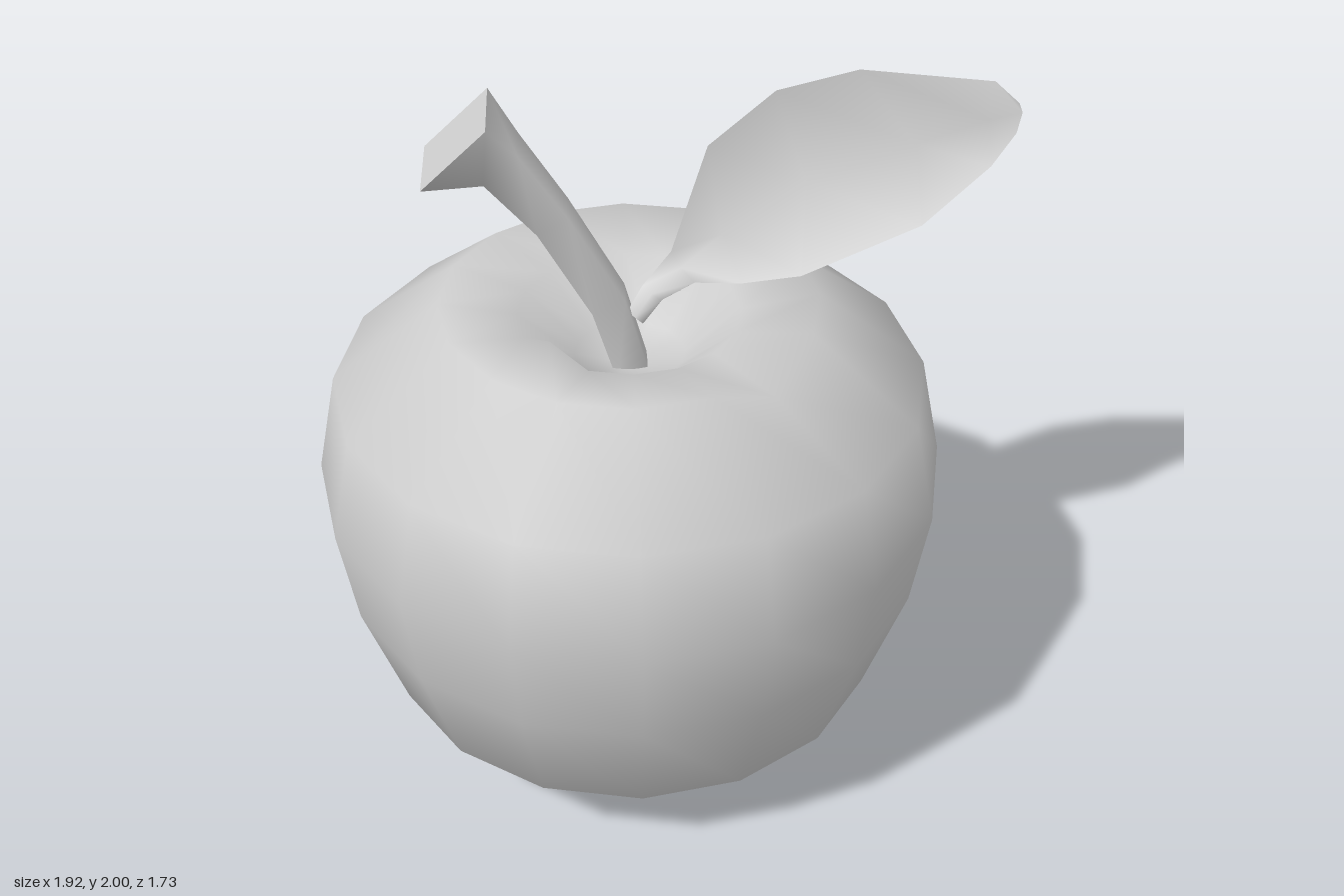
import * as THREE from 'three';
import { mergeVertices } from 'three/addons/utils/BufferGeometryUtils.js';

const V = (x, y, z) => new THREE.Vector3(x, y, z);

// Skin a list of equal-length closed rings with smooth sides and flat end caps
function loft(rings) {
  const n = rings[0].length, last = rings.length - 1;
  const points = rings.flat(), index = [];
  for (let i = 0; i < last; i++) {
    for (let j = 0; j < n; j++) {
      const a = i * n + j, b = i * n + (j + 1) % n;
      index.push(a, b, b + n, a, b + n, a + n);
    }
  }
  const first = points.length;
  points.push(...rings[0], ...rings[last]);
  for (let j = 1; j < n - 1; j++) {
    index.push(first, first + j + 1, first + j);
    index.push(first + n, first + n + j, first + n + j + 1);
  }
  const geometry = new THREE.BufferGeometry().setFromPoints(points);
  geometry.setIndex(index);
  geometry.computeVertexNormals();
  return geometry;
}

function fruitGeometry() {
  const profile = [
    [0, 0], [0.425, 0.085], [0.705, 0.275], [0.82, 0.62], [0.865, 0.91],
    [0.805, 1.2], [0.51, 1.43], [0.3, 1.39], [0.15, 1.26], [0, 1.22],
  ].map(([r, y]) => new THREE.Vector2(r, y));
  let geometry = new THREE.LatheGeometry(profile, 16);
  geometry.deleteAttribute('normal');
  geometry.deleteAttribute('uv');
  geometry = mergeVertices(geometry, 1e-4);

  // A dent in the front left of the rim and a small bump opposite
  const p = geometry.attributes.position;
  for (let i = 0; i < p.count; i++) {
    const x = p.getX(i), y = p.getY(i), z = p.getZ(i);
    if (y < 1.35) continue;
    if (Math.hypot(x - 0.36, z - 0.36) < 0.1) p.setY(i, 1.35);
    if (Math.hypot(x + 0.21, z - 0.21) < 0.1) p.setY(i, 1.44);
  }
  geometry.computeVertexNormals();
  return geometry;
}

function stemGeometry() {
  // centre x, centre y, half width in the bend plane, half width in z, lean angle
  const sections = [
    [-0.085, 1.2, 0.045, 0.04, 1.9],
    [-0.15, 1.43, 0.048, 0.045, 2.0],
    [-0.29, 1.685, 0.047, 0.055, 2.1],
    [-0.415, 1.855, 0.06, 0.065, 2.3],
    [-0.53, 1.915, 0.117, 0.12, 2.33],
  ];
  return loft(sections.map(([x, y, w, d, angle]) => {
    const vx = Math.sin(angle) * w, vy = -Math.cos(angle) * w;
    return [[-1, -1], [1, -1], [1, 1], [-1, 1]].map(([s, t]) => V(x + vx * t, y + vy * t, d * s));
  }));
}

function leafGeometry() {
  // upper edge, midrib and lower edge from the stalk to the tip
  const rows = [
    [[-0.1, 1.39, 0], [-0.08, 1.375, 0.01], [-0.06, 1.36, 0.015]],
    [[-0.06, 1.455, -0.02], [-0.035, 1.435, -0.01], [-0.01, 1.425, 0.005]],
    [[0.02, 1.53, -0.07], [0.045, 1.49, -0.05], [0.08, 1.465, -0.015]],
    [[0.12, 1.8, -0.15], [0.16, 1.55, -0.12], [0.2, 1.475, 0.012]],
    [[0.3, 1.93, -0.2], [0.39, 1.67, -0.19], [0.36, 1.495, 0.015]],
    [[0.52, 1.975, -0.22], [0.68, 1.76, -0.21], [0.68, 1.61, -0.035]],
    [[0.88, 1.93, -0.225], [0.87, 1.825, -0.21], [0.87, 1.73, -0.13]],
    [[0.945, 1.875, -0.205], [0.955, 1.85, -0.2], [0.94, 1.8, -0.18]],
  ];
  return loft(rows.map((row) => {
    const front = row.map((c) => V(...c));
    const back = front.map((c) => V(c.x + 0.003, c.y - 0.009, c.z - 0.016)).reverse();
    return [...front, ...back];
  }));
}

export function createModel() {
  const group = new THREE.Group();
  group.name = 'apple';
  const material = new THREE.MeshStandardMaterial({ color: 0xcccccc });
  const add = (name, geometry) => {
    const mesh = new THREE.Mesh(geometry, material);
    mesh.name = name;
    group.add(mesh);
    return mesh;
  };
  add('fruit', fruitGeometry()).position.x = -0.095;
  add('stem', stemGeometry());
  add('leaf', leafGeometry());
  return group;
}
